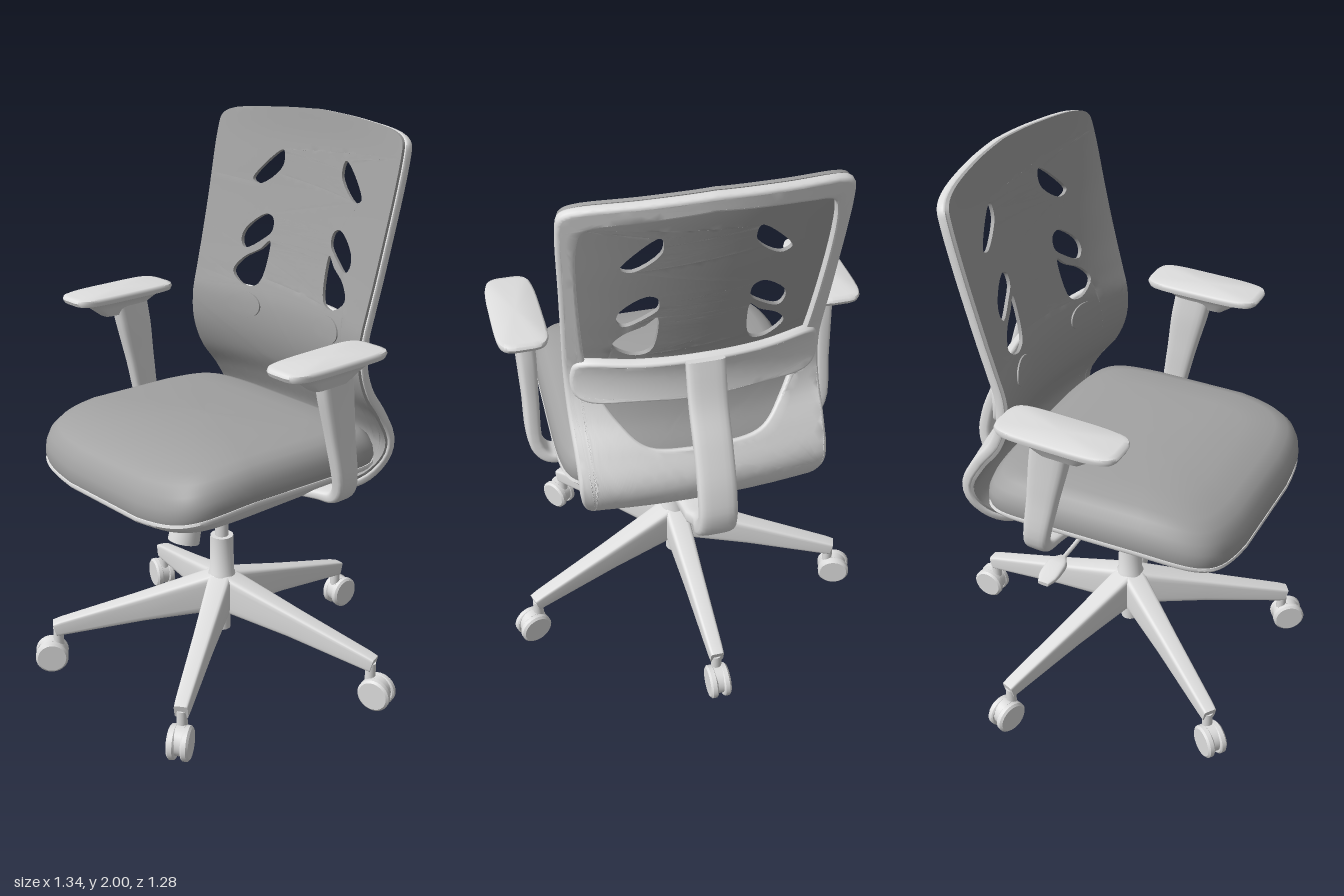
import * as THREE from 'three';
import { toCreasedNormals } from 'three/addons/utils/BufferGeometryUtils.js';

const fabric = new THREE.MeshStandardMaterial({ color: 0xa2a2a2 });
fabric.name = 'grey upholstery';
const plastic = new THREE.MeshStandardMaterial({ color: 0xdedede });
plastic.name = 'light grey plastic';

const V = (x, y, z = 0) => new THREE.Vector3(x, y, z);

// Keeps sharp edges; scaled up so that close vertices stay apart
function crease(geo, angle = 0.7) {
  geo.scale(100, 100, 100);
  return toCreasedNormals(geo, angle).scale(0.01, 0.01, 0.01);
}

function add(parent, name, geo, mat, x = 0, y = 0, z = 0) {
  const m = new THREE.Mesh(geo, mat);
  m.name = name;
  m.position.set(x, y, z);
  parent.add(m);
  return m;
}

// Skin over equal-sized rings, capped at both ends and turned outward
function loft(rings, angle) {
  const n = rings[0].length, pts = rings.flat(), idx = [];
  for (let r = 0; r < rings.length - 1; r++) {
    for (let i = 0; i < n; i++) {
      const a = r * n + i, b = r * n + (i + 1) % n;
      idx.push(a, b, a + n, b, b + n, a + n);
    }
  }
  [rings[0], rings.at(-1)].forEach((ring, end) => {
    const c = pts.length, o = end ? (rings.length - 1) * n : 0;
    pts.push(ring.reduce((s, p) => s.add(p), V(0, 0)).divideScalar(n));
    for (let i = 0; i < n; i++) {
      const a = o + i, b = o + (i + 1) % n;
      idx.push(...(end ? [a, b, c] : [b, a, c]));
    }
  });
  let volume = 0;
  for (let i = 0; i < idx.length; i += 3) {
    volume += pts[idx[i]].dot(pts[idx[i + 1]].clone().cross(pts[idx[i + 2]]));
  }
  if (volume < 0) idx.reverse();
  const geo = new THREE.BufferGeometry().setFromPoints(pts);
  geo.setIndex(idx);
  return crease(geo, angle);
}

// Superellipse in the unit square
function unitRing(count, power) {
  return Array.from({ length: count }, (_, i) => {
    const a = (i + 0.5) / count * Math.PI * 2, c = Math.cos(a), s = Math.sin(a);
    return [Math.sign(c) * Math.abs(c) ** (2 / power), Math.sign(s) * Math.abs(s) ** (2 / power)];
  });
}

// Bar along a flat path; each stop is [x, y, z, half width along side, half thickness]
function bar(stops, side, { power = 4, steps = 0, count = 20 } = {}) {
  let list = stops;
  if (steps) {
    const path = new THREE.CatmullRomCurve3(stops.map(s => V(s[0], s[1], s[2])));
    const size = new THREE.CatmullRomCurve3(stops.map(s => V(s[3], s[4])));
    list = Array.from({ length: steps + 1 }, (_, i) => {
      const p = path.getPoint(i / steps), q = size.getPoint(i / steps);
      return [p.x, p.y, p.z, q.x, q.y];
    });
  }
  const at = i => V(...list[Math.min(Math.max(i, 0), list.length - 1)].slice(0, 3));
  return loft(list.map((s, i) => {
    const n = at(i + 1).sub(at(i - 1)).cross(side).normalize();
    return unitRing(count, power).map(([a, b]) =>
      at(i).addScaledVector(side, a * s[3]).addScaledVector(n, b * s[4]));
  }));
}

// Stacked horizontal rings with bowed ends; each level is [scale, height, weight of the sag]
function stack(levels, hw, hd, power, sag = () => 0, count = 88) {
  return loft(levels.map(([s, y, w = 1]) => unitRing(count, power).map(([a, b]) => {
    const x = a * s * hw * (1 - 0.09 * Math.max(0, b * s) ** 2);
    const z = b * s * hd * (1 - 0.06 * a * a);
    return V(x, y - sag(x, z, w), z);
  })), 0.9);
}

// Backrest profile at even steps: height, z of the side edge, depth of the hollow
const backCurve = new THREE.CatmullRomCurve3([
  [0.735, -0.14, 0], [0.755, -0.235, 0.02], [0.82, -0.31, 0.04], [0.9, -0.335, 0.045],
  [1, -0.285, 0.06], [1.1, -0.21, 0.085], [1.2, -0.172, 0.1], [1.3, -0.17, 0.102],
  [1.4, -0.196, 0.1], [1.5, -0.225, 0.095], [1.6, -0.252, 0.09], [1.7, -0.278, 0.085],
  [1.8, -0.302, 0.08], [1.9, -0.325, 0.075], [2, -0.347, 0.065],
].map(p => V(...p)));

// Extrudes a flat shape, splits long edges and bends it onto the backrest
function bent(shape, depth, z0, bevel = 0) {
  const src = new THREE.ExtrudeGeometry(shape, {
    depth: depth - 2 * bevel, bevelEnabled: bevel > 0, bevelSize: bevel,
    bevelThickness: bevel, bevelOffset: -bevel, bevelSegments: 2,
  }).attributes.position;
  const todo = [], out = [];
  for (let i = 0; i < src.count; i += 3) {
    todo.push([0, 1, 2].map(k => new THREE.Vector3().fromBufferAttribute(src, i + k)));
  }
  while (todo.length) {
    const t = todo.pop();
    const len = [0, 1, 2].map(k => t[k].distanceTo(t[(k + 1) % 3]));
    const k = len.indexOf(Math.max(...len));
    if (len[k] < 0.036) { out.push(...t); continue; }
    const a = t[k], b = t[(k + 1) % 3], c = t[(k + 2) % 3];
    const m = a.clone().add(b).multiplyScalar(0.5);
    todo.push([a, m, c], [m, b, c]);
  }
  const geo = new THREE.BufferGeometry().setFromPoints(out.map(p => {
    const u = Math.min(Math.max((p.y - 0.6) / 1.4, 0), 1);
    const c = backCurve.getPoint(u), t = backCurve.getTangent(u);
    const l = Math.hypot(t.x, t.y), off = p.z + z0 + bevel;
    return V(p.x, c.x - t.y / l * off, c.y - c.z * (1 - (p.x / 0.45) ** 2) + t.x / l * off);
  }));
  return crease(geo, 1);
}

// Symmetrical outline from a half profile running bottom to top
function symmetric(half, inset = 0) {
  const pts = new THREE.CatmullRomCurve3(half.map(([x, y]) => V(x, y))).getPoints(60)
    .map(p => new THREE.Vector2(Math.max(0, p.x - inset), p.y));
  const left = pts.slice(1, -1).reverse().map(p => new THREE.Vector2(-p.x, p.y));
  return [...pts, ...left];
}

function buildBack(chair) {
  const back = new THREE.Group();
  back.name = 'backrest';
  chair.add(back);
  const outline = [[0, 0.62], [0.2, 0.63], [0.35, 0.7], [0.42, 0.83], [0.43, 1], [0.435, 1.3],
    [0.445, 1.6], [0.453, 1.9], [0.445, 1.945], [0.41, 1.968], [0.2, 1.99], [0, 2]];
  const opening = [[0, 1], [0.2, 1.02], [0.28, 1.1], [0.35, 1.25], [0.385, 1.5], [0.395, 1.85],
    [0.375, 1.9], [0.3, 1.918], [0, 1.945]];
  const frame = new THREE.Shape(symmetric(outline));
  frame.holes.push(new THREE.Path(symmetric(opening)));
  add(back, 'backFrame', bent(frame, 0.036, -0.036, 0.01), plastic);

  // Upholstered panel with slanted, rounded vents
  const panel = new THREE.Shape(symmetric(outline, 0.008));
  const vents = [
    [[0.268, 1.73], [0.255, 1.757], [0.156, 1.845], [0.144, 1.83], [0.148, 1.783], [0.233, 1.717]],
    [[0.274, 1.513], [0.263, 1.555], [0.185, 1.615], [0.152, 1.603], [0.147, 1.56], [0.18, 1.526], [0.254, 1.485]],
    [[0.284, 1.397], [0.254, 1.447], [0.185, 1.49], [0.15, 1.523], [0.144, 1.48], [0.166, 1.367], [0.223, 1.352]],
  ];
  for (const s of [-1, 1]) {
    for (const v of vents) {
      const loop = new THREE.CatmullRomCurve3(v.map(([x, y]) => V(s * x, y)), true).getPoints(28).slice(0, -1);
      panel.holes.push(new THREE.Path(loop.map(p => new THREE.Vector2(p.x, p.y))));
    }
    const pad = new THREE.Shape().absellipse(s * 0.21, 1.285, 0.07, 0.045, 0, Math.PI * 2);
    add(back, 'lumbarPad', bent(pad, 0.009, 0.008), fabric);
  }
  add(back, 'backPanel', bent(panel, 0.014, -0.003), fabric);

  // Lumbar belt across the rear, carried by the spine
  const belt = [[0, 1.17], [0.2, 1.175], [0.37, 1.17], [0.41, 1.2], [0.415, 1.3], [0.395, 1.345], [0.2, 1.355], [0, 1.36]];
  add(back, 'lumbarBelt', bent(new THREE.Shape(symmetric(belt)), 0.036, -0.052, 0.008), plastic);
  const spine = [[-0.08, 0.675, 0.1, 0.025], [-0.2, 0.667, 0.075, 0.028], [-0.35, 0.688, 0.065, 0.028],
    [-0.46, 0.735, 0.065, 0.028], [-0.518, 0.82, 0.065, 0.028], [-0.505, 0.93, 0.065, 0.027],
    [-0.45, 1.07, 0.065, 0.025], [-0.385, 1.2, 0.065, 0.024], [-0.34, 1.35, 0.065, 0.022]];
  add(back, 'spine', bar(spine.map(([z, y, w, t]) => [0, y, z, w, t]), V(1, 0, 0), { steps: 40 }), plastic);
}

function buildSeat(chair) {
  const seat = new THREE.Group();
  seat.name = 'seat';
  seat.position.z = 0.14;
  chair.add(seat);
  const sag = (x, z, w) => w * (Math.max(0, (z - 0.12) / 0.34) ** 2 * (0.04 + 0.035 * (1 - (x / 0.46) ** 2))
    + Math.max(0, -z / 0.46) * 0.03);
  add(seat, 'cushion', stack([[0.04, 1.018], [0.3, 1.018], [0.6, 1.017], [0.82, 1.011], [0.91, 0.998],
    [0.965, 0.972], [0.992, 0.94], [1, 0.908], [0.985, 0.88], [0.9, 0.875]], 0.468, 0.46, 8, sag), fabric);
  add(seat, 'seatRim', stack([[0.9, 0.888], [0.995, 0.888], [1, 0.88], [0.985, 0.868], [0.9, 0.868]],
    0.468, 0.46, 8, sag), plastic);
  // Pan is flat from front to back and dished from side to side
  const dish = (x, z, w) => sag(x, z, w) - (1 - w) * 0.08 * (x / 0.46) ** 2;
  add(seat, 'seatPan', stack([[0.9, 0.875], [0.975, 0.87], [0.9, 0.8, 0.5], [0.8, 0.738, 0],
    [0.6, 0.726, 0], [0.3, 0.724, 0], [0.05, 0.724, 0]], 0.468, 0.46, 8, dish), plastic);
}

function buildArm(chair, s) {
  const arm = new THREE.Group();
  arm.name = s > 0 ? 'leftArm' : 'rightArm';
  chair.add(arm);
  const post = [[0.3, 0.785, -0.03, 0.06, 0.016], [0.42, 0.805, -0.03, 0.05, 0.018], [0.485, 0.815, -0.03, 0.045, 0.022],
    [0.52, 0.86, -0.02, 0.045, 0.025], [0.525, 1.05, 0.014, 0.055, 0.028], [0.525, 1.2, 0.041, 0.067, 0.033],
    [0.528, 1.29, 0.058, 0.07, 0.035]];
  add(arm, 'armPost', bar(post.map(([x, ...r]) => [s * x, ...r]), V(0, 0, 1), { steps: 30 }), plastic);
  add(arm, 'armPad', stack([[0.05, 1.345], [0.9, 1.343], [0.98, 1.339], [1, 1.33], [0.97, 1.317],
    [0.72, 1.308], [0.55, 1.285], [0.34, 1.25]], 0.088, 0.218, 6), plastic, s * 0.54, 0, 0.098);
  add(arm, 'armBolt', new THREE.BoxGeometry(0.06, 0.02, 0.17), plastic, s * 0.27, 0.75, -0.06).rotation.z = s * 0.2;
}

function buildUnderside(chair, z) {
  add(chair, 'mechanism', stack([[1, 0.74], [1, 0.71], [0.75, 0.675], [0.5, 0.655]], 0.105, 0.11, 5),
    plastic, 0, 0, z - 0.045);
  const knob = add(chair, 'tensionKnob', crease(new THREE.CylinderGeometry(0.05, 0.057, 0.13, 24)), plastic, 0, 0.617, 0.229);
  const neck = add(chair, 'knobNeck', new THREE.CylinderGeometry(0.035, 0.035, 0.08, 20), plastic, 0, 0.7, 0.208);
  knob.rotation.x = neck.rotation.x = -0.25;
  // Height lever on the right
  const rod = new THREE.CatmullRomCurve3([V(-0.05, 0.71), V(-0.13, 0.7), V(-0.22, 0.675), V(-0.4, 0.668)]);
  add(chair, 'leverRod', new THREE.TubeGeometry(rod, 20, 0.008, 8), plastic, 0, 0, -0.01);
  add(chair, 'leverPaddle', bar([[-0.37, 0.672, -0.01, 0.012, 0.01], [-0.41, 0.672, -0.01, 0.035, 0.016],
    [-0.47, 0.665, -0.01, 0.035, 0.012], [-0.51, 0.66, -0.01, 0.02, 0.008]], V(0, 0, 1), { steps: 8 }), plastic);
}

function buildBase(chair, z) {
  const base = new THREE.Group();
  base.name = 'base';
  base.position.z = z;
  chair.add(base);
  const column = [[0, 0.14], [0.032, 0.14], [0.032, 0.22], [0.055, 0.22], [0.06, 0.35], [0.045, 0.375],
    [0.042, 0.52], [0.025, 0.52], [0.025, 0.7], [0, 0.7]].map(p => new THREE.Vector2(...p));
  add(base, 'gasColumn', crease(new THREE.LatheGeometry(column, 28)), plastic);
  for (let i = 0; i < 5; i++) {
    const leg = new THREE.Group();
    leg.name = 'leg';
    leg.rotation.y = Math.PI / 2 + i * Math.PI * 2 / 5;
    base.add(leg);
    add(leg, 'legBeam', bar([[0.01, 0.3, 0, 0.045, 0.075], [0.3, 0.24, 0, 0.034, 0.048],
      [0.59, 0.176, 0, 0.026, 0.029], [0.62, 0.168, 0, 0.024, 0.026]], V(0, 0, 1), { power: 7 }), plastic);
    // Twin-wheel caster under a rounded hood
    add(leg, 'casterStem', new THREE.CylinderGeometry(0.019, 0.019, 0.1, 16), plastic, 0.608, 0.12, 0);
    add(leg, 'casterHood', crease(new THREE.CylinderGeometry(0.053, 0.053, 0.03, 24)), plastic, 0.632, 0.067, 0)
      .rotation.x = Math.PI / 2;
    for (const s of [-1, 1]) {
      const wheel = [[0, -0.013], [0.055, -0.013], [0.06, -0.008], [0.06, 0.007], [0.052, 0.014], [0, 0.014]]
        .map(p => new THREE.Vector2(...p));
      add(leg, 'casterWheel', crease(new THREE.LatheGeometry(wheel, 28)), plastic, 0.635, 0.06, s * 0.024)
        .rotation.x = s * Math.PI / 2;
    }
  }
}

export function createModel() {
  const chair = new THREE.Group();
  chair.name = 'officeChair';
  buildBase(chair, 0.065);
  buildUnderside(chair, 0.065);
  buildSeat(chair);
  buildBack(chair);
  for (const s of [-1, 1]) buildArm(chair, s);
  return chair;
}
